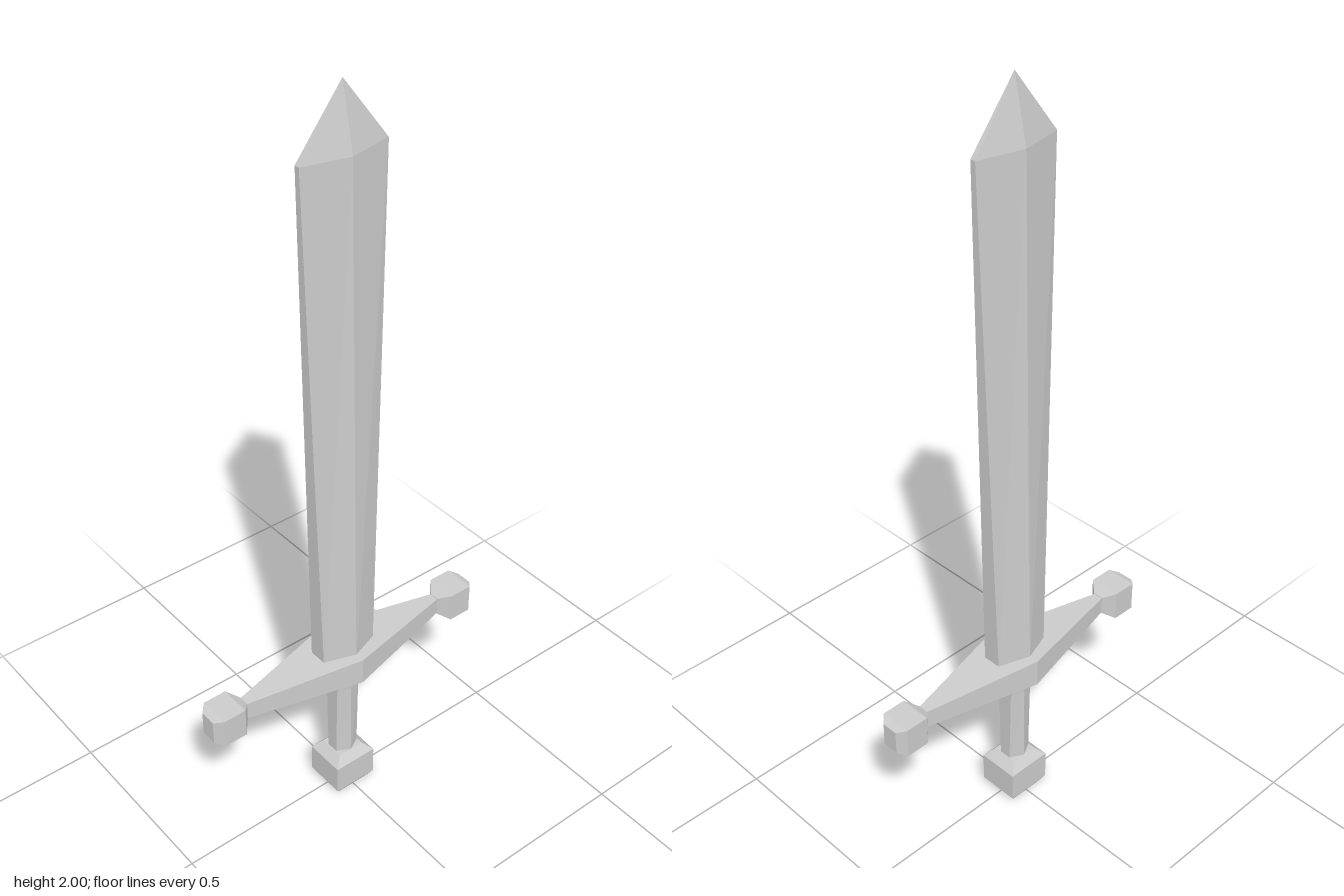
import * as THREE from 'three';

const material = new THREE.MeshStandardMaterial({ color: 0xcccccc, flatShading: true });

// Six-sided section: ridge at +-z, narrow flat edge of half-width e at +-x
const hex = (y, x, e, z) =>
  [[0, z], [x, e], [x, -e], [0, -z], [-x, -e], [-x, e]].map(([px, pz]) => new THREE.Vector3(px, y, pz));

// Four-sided section
const rect = (y, x, z) =>
  [[-x, z], [x, z], [x, -z], [-x, -z]].map(([px, pz]) => new THREE.Vector3(px, y, pz));

// Flat-shaded skin over sections stacked along y, closed at both ends
function loft(name, rings) {
  const pos = [];
  const tri = (a, b, c) => {
    if (new THREE.Triangle(a, b, c).getArea() > 1e-8) for (const p of [a, b, c]) pos.push(p.x, p.y, p.z);
  };
  const n = rings[0].length;
  for (let r = 0; r < rings.length - 1; r++) {
    for (let i = 0; i < n; i++) {
      const j = (i + 1) % n, lo = rings[r], hi = rings[r + 1];
      tri(lo[i], lo[j], hi[j]);
      tri(lo[i], hi[j], hi[i]);
    }
  }
  const first = rings[0], last = rings[rings.length - 1];
  for (let i = 1; i < n - 1; i++) {
    tri(first[0], first[i + 1], first[i]);
    tri(last[0], last[i], last[i + 1]);
  }
  const geometry = new THREE.BufferGeometry();
  geometry.setAttribute('position', new THREE.Float32BufferAttribute(pos, 3));
  geometry.computeVertexNormals();
  const mesh = new THREE.Mesh(geometry, material);
  mesh.name = name;
  return mesh;
}

export function createModel() {
  const sword = new THREE.Group();
  sword.name = 'sword';

  // Blade widens towards the shoulder, then closes to a point
  sword.add(loft('blade', [
    hex(0.46, 0.08, 0.025, 0.056),
    hex(1.842, 0.118, 0.007, 0.034),
    hex(2, 0, 0, 0),
  ]));

  // Grip flares out under the guard
  sword.add(loft('grip', [
    hex(0.1, 0.035, 0.016, 0.035),
    hex(0.35, 0.035, 0.022, 0.036),
    hex(0.415, 0.105, 0.035, 0.042),
  ]));

  // Bevelled block pommel
  sword.add(loft('pommel', [
    rect(0, 0.048, 0.045),
    rect(0.018, 0.062, 0.056),
    rect(0.1, 0.062, 0.056),
    rect(0.124, 0.038, 0.036),
  ]));

  // Diamond-plan crossguard, lofted along x
  const guard = new THREE.Group();
  guard.name = 'crossguard';
  guard.position.y = 0.446;
  const bar = loft('guardBar', [rect(-0.32, 0.024, 0.012), rect(0, 0.038, 0.083), rect(0.32, 0.024, 0.012)]);
  bar.rotation.z = -Math.PI / 2;
  guard.add(bar);

  // Bevelled knobs on both guard ends
  for (const side of [1, -1]) {
    const knob = loft(side > 0 ? 'leftGuardKnob' : 'rightGuardKnob', [
      rect(0.313, 0.026, 0.014),
      rect(0.338, 0.041, 0.043),
      rect(0.402, 0.041, 0.043),
      rect(0.421, 0.033, 0.022),
    ]);
    knob.rotation.z = -side * Math.PI / 2;
    guard.add(knob);
  }
  sword.add(guard);
  return sword;
}
